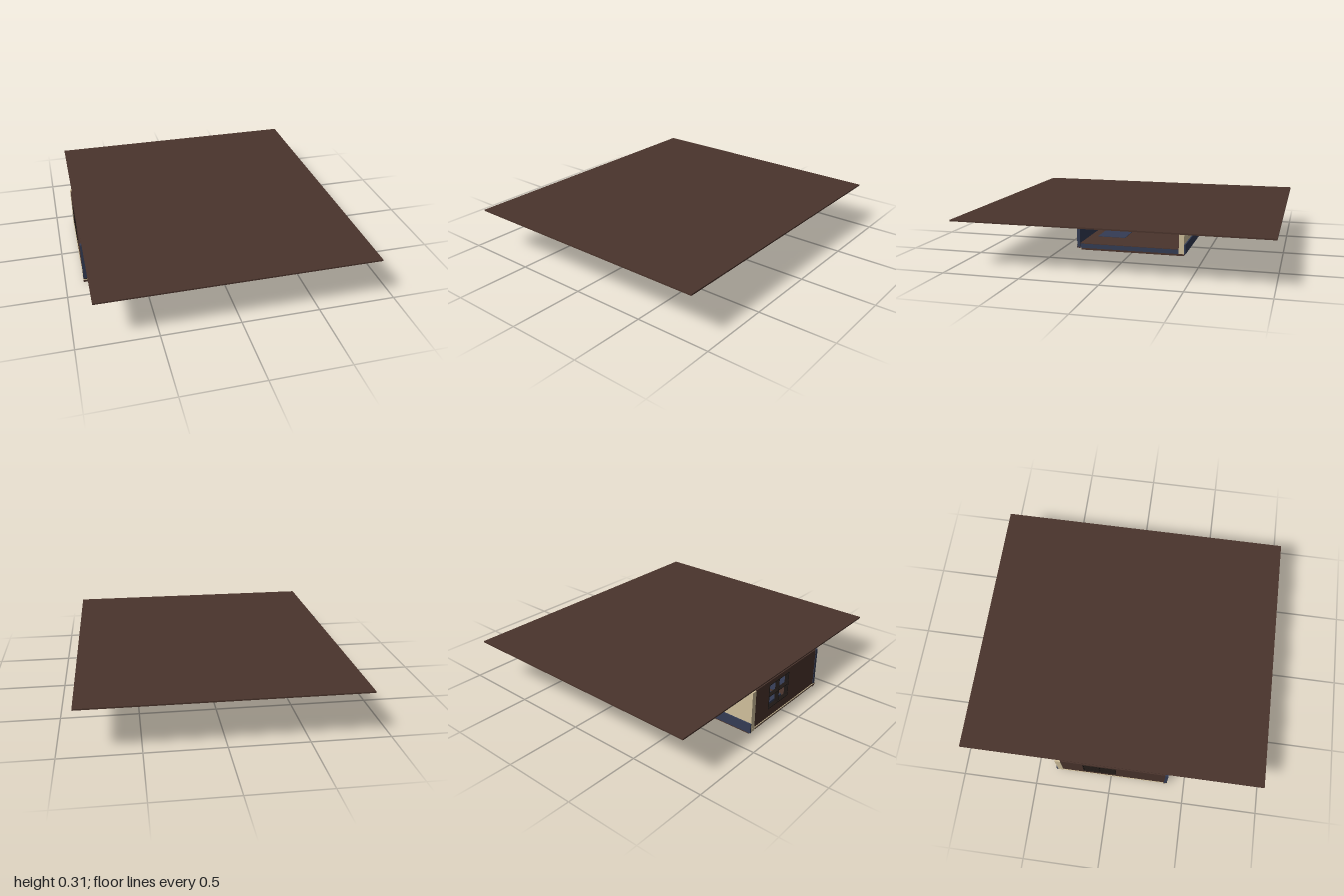
import * as THREE from 'three';

const mat = (name, color) => {
  const m = new THREE.MeshStandardMaterial({ color });
  m.name = name;
  return m;
};

export function createModel() {
  const wood = mat('dark wood', 0x4a342c);
  const navy = mat('navy paint', 0x343c54);
  const cream = mat('cream plaster', 0xd0bf9b);
  const iron = mat('black iron', 0x1e1815);
  const model = new THREE.Group();
  model.name = 'openRoom';

  // Box given by its limits on each axis
  function box(name, m, x0, x1, y0, y1, z0, z1, parent = model) {
    const mesh = new THREE.Mesh(new THREE.BoxGeometry(x1 - x0, y1 - y0, z1 - z0), m);
    mesh.position.set((x0 + x1) / 2, (y0 + y1) / 2, (z0 + z1) / 2);
    mesh.name = name;
    parent.add(mesh);
    return mesh;
  }
  function turned(name, m, rTop, rBottom, h, x, y, z, sides = 16) {
    const mesh = new THREE.Mesh(new THREE.CylinderGeometry(rTop, rBottom, h, sides), m);
    mesh.position.set(x, y + h / 2, z);
    mesh.name = name;
    model.add(mesh);
  }

  // Ceiling slab, foundation and raised floor
  box('ceilingSlab', wood, -0.875, 0.885, 0.3, 0.309, -1, 1);
  box('foundation', wood, -0.865, 0.255, 0, 0.018, -0.36, 0.36);
  box('floorBase', navy, -0.875, 0.275, 0.018, 0.048, -0.33, 0.362);
  box('floorBoards', wood, -0.865, 0.275, 0.048, 0.051, -0.33, 0.362);

  // Front wall, in two halves beside the entrance
  for (const [x0, x1] of [[-0.885, -0.385], [-0.222, 0.28]]) {
    box('frontWall', navy, x0, x1, 0.02, 0.3, 0.362, 0.382);
    box('frontPlinth', wood, x0, x1, 0.018, 0.031, 0.36, 0.386);
    box('frontTrim', cream, x0, x1, 0.032, 0.039, 0.38, 0.386);
    box('frontTrimCap', iron, x0, x1, 0.039, 0.042, 0.38, 0.385);
    const mid = (x0 + x1) / 2;
    box('frontVent', iron, mid - 0.09, mid + 0.09, 0.042, 0.046, 0.38, 0.385);
  }

  // Entrance step and threshold
  box('threshold', wood, -0.385, -0.222, 0.012, 0.03, 0.35, 0.384);
  box('entranceStep', cream, -0.34, -0.268, 0.003, 0.012, 0.36, 0.4);

  // Back wall with an outer wainscot
  box('backWall', cream, -0.885, 0.28, 0.02, 0.3, -0.366, -0.33);
  box('backWainscot', navy, -0.885, 0.28, 0.018, 0.084, -0.375, -0.366);
  box('backSkirting', wood, -0.865, 0.28, 0.051, 0.066, -0.33, -0.326);

  // Side wall with a window opening: shape drawn in (z, y)
  const outline = new THREE.Shape([[-0.33, 0.02], [0.362, 0.02], [0.362, 0.3], [-0.33, 0.3]]
    .map(p => new THREE.Vector2(...p)));
  outline.holes.push(new THREE.Path([[-0.185, 0.1], [-0.185, 0.272], [0.035, 0.272], [0.035, 0.1]]
    .map(p => new THREE.Vector2(...p))));
  const sideWall = new THREE.Mesh(
    new THREE.ExtrudeGeometry(outline, { depth: 0.02, bevelEnabled: false }), wood);
  sideWall.rotation.y = -Math.PI / 2;
  sideWall.position.x = -0.862;
  sideWall.name = 'sideWall';
  model.add(sideWall);
  box('sideSkirting', cream, -0.862, -0.857, 0.051, 0.066, -0.326, 0.362);
  box('sideTrim', cream, -0.886, -0.88, 0.032, 0.039, -0.366, 0.382);

  // Window frame and glazing bars
  const frame = new THREE.Group();
  frame.name = 'windowFrame';
  model.add(frame);
  for (const z of [-0.185, -0.078, 0.031])
    box('windowUpright', iron, -0.885, -0.859, 0.1, 0.272, z, z + 0.005, frame);
  for (const y of [0.1, 0.186, 0.268])
    box('windowBar', iron, -0.885, -0.859, y, y + 0.005, -0.185, 0.036, frame);

  // Shelf cabinet on the back wall with two rows of bottles
  box('cabinet', wood, -0.4, -0.21, 0.051, 0.256, -0.33, -0.285);
  box('cabinetBack', iron, -0.372, -0.238, 0.105, 0.22, -0.286, -0.284);
  for (const y of [0.105, 0.158, 0.216])
    box('shelf', wood, -0.376, -0.234, y, y + 0.006, -0.287, -0.262);
  for (const y of [0.111, 0.164])
    for (let i = 0; i < 5; i++) {
      const x = -0.361 + i * 0.028;
      turned('bottle', cream, 0.006, 0.005, 0.02, x, y, -0.274, 12);
      turned('bottleNeck', cream, 0.002, 0.003, 0.009, x, y + 0.02, -0.274, 8);
    }
  turned('wallLamp', iron, 0.002, 0.007, 0.014, -0.304, 0.265, -0.322);

  // Counter
  box('counter', navy, -0.44, -0.17, 0.051, 0.088, -0.185, -0.14);
  box('counterTop', wood, -0.445, -0.165, 0.088, 0.095, -0.195, -0.13);

  // Sofa under the window
  box('sofaSeat', navy, -0.82, -0.74, 0.054, 0.074, -0.19, 0.03);
  box('sofaBack', navy, -0.84, -0.815, 0.054, 0.098, -0.19, 0.03);
  for (const z of [-0.19, 0.012]) box('sofaArm', navy, -0.82, -0.74, 0.054, 0.086, z, z + 0.018);

  // Low table and rugs
  box('tableTop', wood, -0.68, -0.6, 0.08, 0.086, -0.01, 0.075);
  for (const x of [-0.676, -0.61])
    for (const z of [-0.006, 0.065]) box('tableLeg', iron, x, x + 0.006, 0.051, 0.08, z, z + 0.006);
  for (const x of [-0.75, -0.14]) box('rug', navy, x, x + 0.2, 0.051, 0.054, 0.1, 0.3);

  // Floor lamp
  turned('lampFoot', iron, 0.015, 0.018, 0.006, -0.79, 0.074, -0.092);
  turned('lampPole', iron, 0.003, 0.003, 0.12, -0.79, 0.078, -0.092, 8);
  turned('lampShade', cream, 0.009, 0.023, 0.042, -0.79, 0.19, -0.092);

  return model;
}
